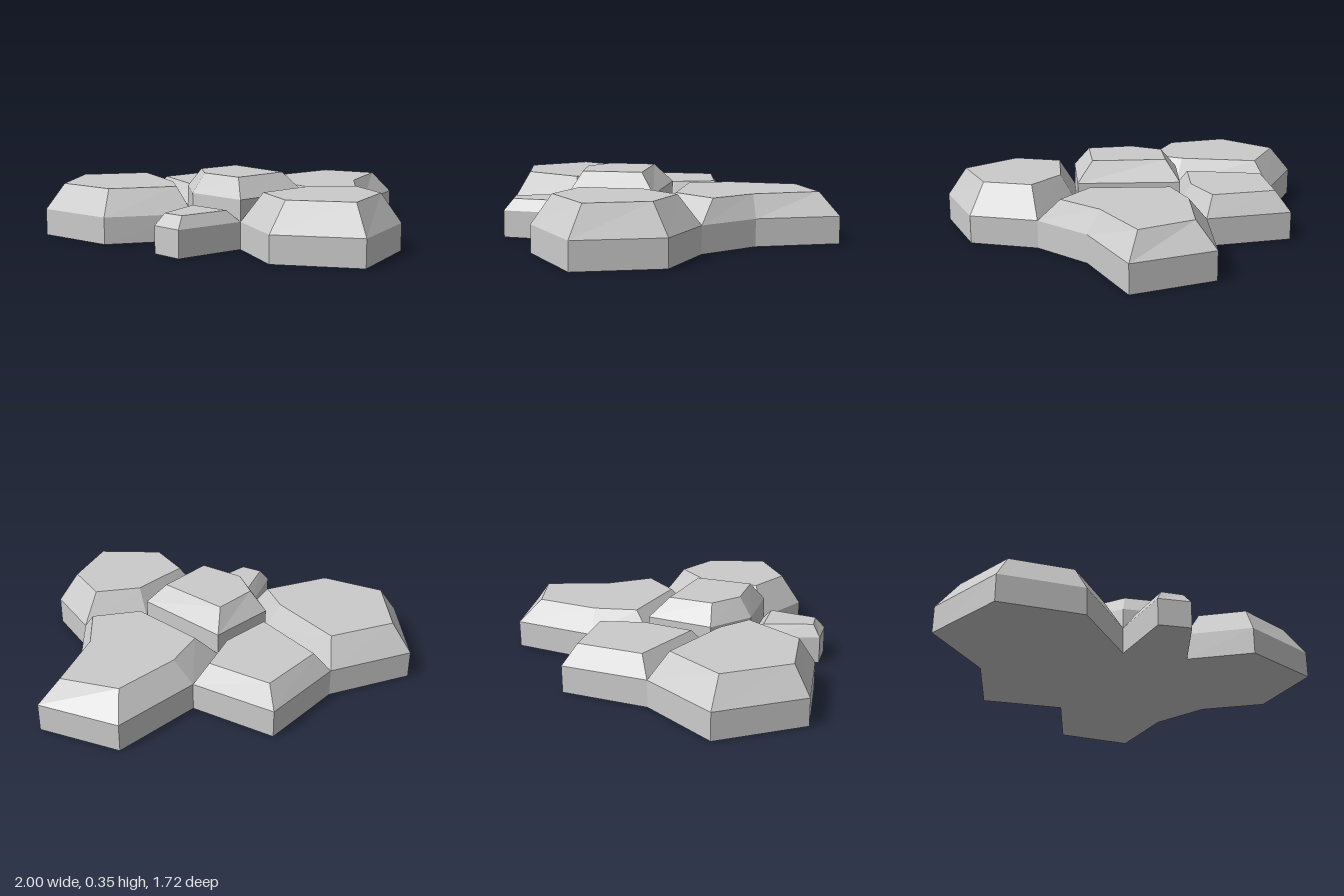
import * as THREE from 'three';

// Each stone: outline and smaller top outline as [x, z], clockwise from above
const STONES = [
  { name: 'leftStone', shoulder: 0.14, height: 0.275,
    outer: [[-1, -0.09], [-0.88, -0.545], [-0.425, -0.6], [-0.24, -0.12], [-0.23, 0.14], [-0.685, 0.2]],
    top: [[-0.9, -0.105], [-0.81, -0.455], [-0.46, -0.495], [-0.32, -0.12], [-0.31, 0.07], [-0.66, 0.115]] },
  { name: 'backStone', shoulder: 0.14, height: 0.24,
    outer: [[-0.045, -0.86], [0.26, -0.54], [0.07, -0.3], [-0.24, -0.12], [-0.425, -0.6]],
    top: [[-0.05, -0.77], [0.175, -0.53], [0.035, -0.345], [-0.2, -0.21], [-0.34, -0.575]] },
  { name: 'rightStone', shoulder: 0.14, height: 0.255,
    outer: [[0.665, -0.78], [1, -0.52], [0.75, -0.16], [0.68, 0.165], [0.345, 0.145], [0.07, -0.3], [0.26, -0.54]],
    top: [[0.635, -0.655], [0.885, -0.5], [0.7, -0.2], [0.65, 0.05], [0.4, 0.04], [0.19, -0.305], [0.34, -0.48]] },
  { name: 'frontStone', shoulder: 0.14, height: 0.29,
    outer: [[-0.01, 0.39], [0.345, 0.145], [0.68, 0.165], [0.775, 0.5], [0.51, 0.855], [0.085, 0.72]],
    top: [[0.1, 0.415], [0.365, 0.235], [0.6, 0.25], [0.67, 0.49], [0.485, 0.75], [0.17, 0.655]] },
  { name: 'smallStone', shoulder: 0.14, height: 0.2,
    outer: [[-0.23, 0.14], [-0.01, 0.39], [-0.325, 0.565], [-0.435, 0.44]],
    top: [[-0.235, 0.22], [-0.08, 0.39], [-0.305, 0.515], [-0.385, 0.435]] },
  { name: 'centerStone', shoulder: 0.25, height: 0.35,
    outer: [[-0.24, -0.12], [0.07, -0.3], [0.345, 0.145], [-0.01, 0.39], [-0.23, 0.14]],
    top: [[-0.17, -0.065], [0.03, -0.195], [0.24, 0.12], [-0.01, 0.295], [-0.165, 0.115]] },
];

// Straight wall, sloping bevel, and flat caps above and below
function stoneGeometry({ outer, top, shoulder, height }) {
  const positions = [];
  const ring = (outline, y) => outline.map(([x, z]) => [x, y, z]);
  const triangle = (a, b, c) => positions.push(...a, ...b, ...c);

  function band(lower, upper) {
    lower.forEach((p, i) => {
      const j = (i + 1) % lower.length;
      triangle(lower[j], p, upper[i]);
      triangle(lower[j], upper[i], upper[j]);
    });
  }

  function cap(points, facesUp) {
    const flat = points.map(([x, , z]) => new THREE.Vector2(x, z));
    for (const [i, j, k] of THREE.ShapeUtils.triangulateShape(flat, [])) {
      // A positive area in x, z turns the face downwards
      const facesDown = THREE.ShapeUtils.area([flat[i], flat[j], flat[k]]) > 0;
      if (facesDown === facesUp) triangle(points[i], points[k], points[j]);
      else triangle(points[i], points[j], points[k]);
    }
  }

  const base = ring(outer, 0);
  const edge = ring(outer, shoulder);
  const crown = ring(top, height);
  band(base, edge);
  band(edge, crown);
  cap(crown, true);
  cap(base, false);

  const geometry = new THREE.BufferGeometry();
  geometry.setAttribute('position', new THREE.Float32BufferAttribute(positions, 3));
  geometry.computeVertexNormals();
  return geometry;
}

export function createModel() {
  const group = new THREE.Group();
  group.name = 'steppingStones';
  const material = new THREE.MeshStandardMaterial({ color: 0xcccccc, flatShading: true });
  for (const stone of STONES) {
    const mesh = new THREE.Mesh(stoneGeometry(stone), material);
    mesh.name = stone.name;
    group.add(mesh);
  }
  return group;
}
